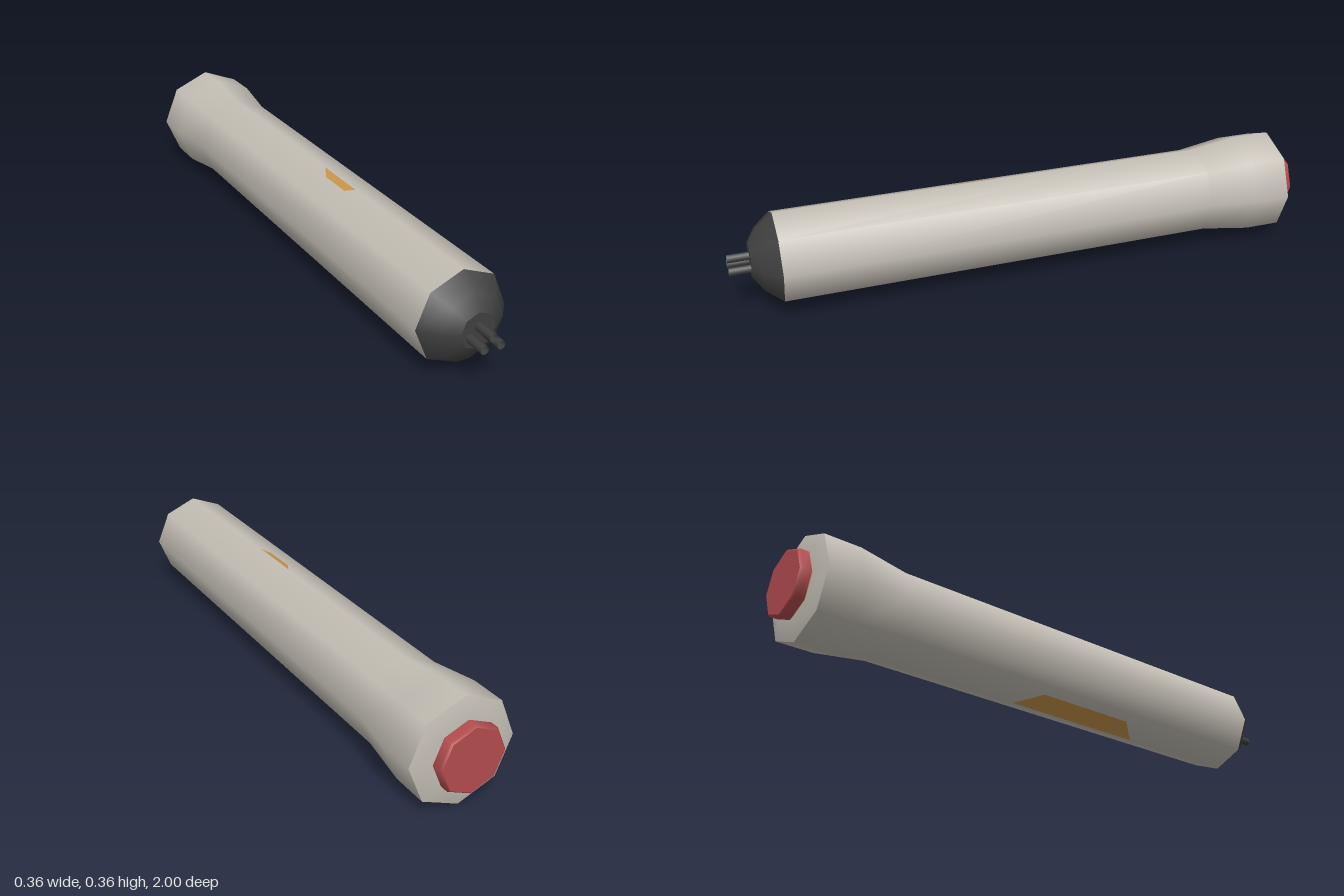
import * as THREE from 'three';

const SIDES = 8, CENTRE_Y = 0.182, RADIUS = 0.155;

function material(name, color) {
  const m = new THREE.MeshStandardMaterial({ color });
  m.name = name;
  return m;
}

export function createModel() {
  const group = new THREE.Group();
  const shell = material('warm grey shell', 0xc4bfb5);
  const dark = material('charcoal', 0x404040);
  const red = material('red button', 0xb44c4e);
  const orange = material('orange inlay', 0xc8954a);
  orange.side = dark.side = THREE.DoubleSide;

  // Eight-sided turned part along z; profile is [radius, z] from back to front
  function turned(name, profile, mat) {
    const g = new THREE.LatheGeometry(profile.map(([r, z]) => new THREE.Vector2(r, z)), SIDES);
    g.rotateX(Math.PI / 2);
    const mesh = new THREE.Mesh(g, mat);
    mesh.name = name;
    mesh.position.y = CENTRE_Y;
    group.add(mesh);
  }

  // Handle with its swollen back end
  turned('handle', [[0.18, -0.945], [0.18, -0.82], [RADIUS, -0.65], [RADIUS, 0.845]], shell);
  turned('handleEnd', [[0, -0.96], [0.12, -0.96], [0.18, -0.945]], shell);

  // Button on the back, over a thin collar
  turned('buttonCollar', [[0.108, -0.968], [0.108, -0.955]], orange);
  turned('buttonSide', [[0.107, -1], [0.113, -0.993], [0.113, -0.964]], red);
  turned('buttonFace', [[0, -1], [0.107, -1]], red);
  turned('buttonUnderside', [[0.113, -0.964], [0, -0.964]], red);

  // Tapered nose
  turned('nose', [[RADIUS, 0.845], [0.108, 0.9], [0.06, 0.93]], dark);
  turned('noseFace', [[0.06, 0.93], [0, 0.93]], dark);

  // Three hollow pins
  for (const [x, y] of [[-0.028, -0.016], [0.028, -0.016], [0, 0.016]]) {
    const g = new THREE.CylinderGeometry(0.014, 0.014, 0.08, 8, 1, true);
    g.rotateX(Math.PI / 2);
    const pin = new THREE.Mesh(g, dark);
    pin.name = 'pin';
    pin.position.set(x, CENTRE_Y + y, 0.96);
    group.add(pin);
  }

  // Flat inlay on a facet beside the top (sign 1) or bottom (sign -1) ridge;
  // outline is [distance from ridge, z]
  function inlay(name, sign, outline) {
    const shape = new THREE.Shape(outline.map(([d, z]) => new THREE.Vector2(d, z)));
    const g = new THREE.ShapeGeometry(shape);
    const p = g.attributes.position, tilt = Math.PI / 8;
    for (let i = 0; i < p.count; i++) {
      const d = p.getX(i), z = p.getY(i);
      p.setXYZ(i, -d * Math.cos(tilt), sign * (RADIUS + 0.0015 - d * Math.sin(tilt)), z);
    }
    if (sign < 0) g.index.array.reverse();
    g.computeVertexNormals();
    const mesh = new THREE.Mesh(g, orange);
    mesh.name = name;
    mesh.position.y = CENTRE_Y;
    group.add(mesh);
  }
  inlay('topInlay', 1, [[0.003, 0.06], [0.003, 0.26], [0.03, 0.23], [0.03, 0.11]]);
  inlay('bottomInlay', -1, [[0.005, -0.15], [0.005, 0.38], [0.08, 0.3], [0.08, -0.07]]);

  return group;
}
